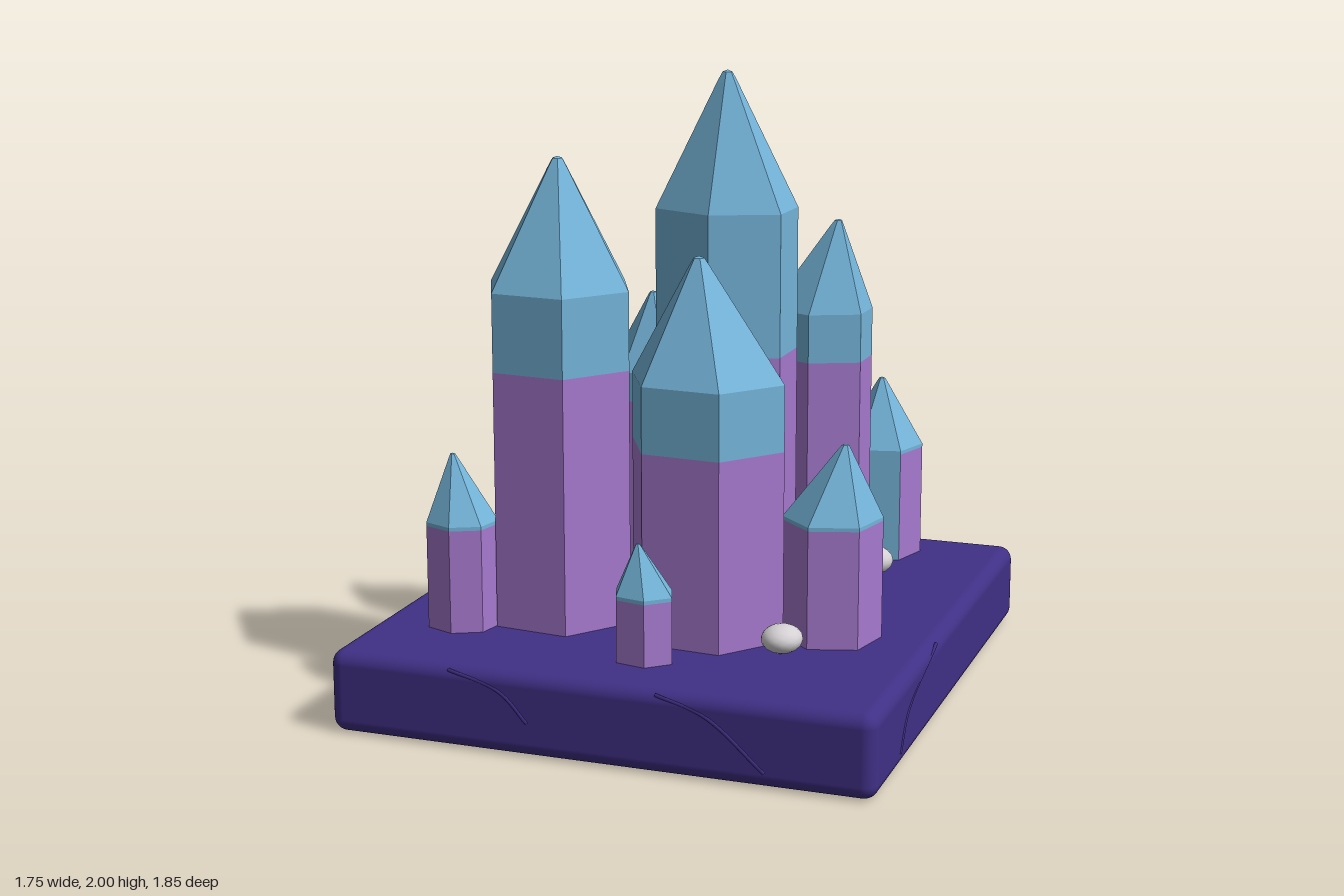
import * as THREE from 'three';
import { RoundedBoxGeometry } from 'three/addons/geometries/RoundedBoxGeometry.js';

const mat = (name, color) => {
  const m = new THREE.MeshStandardMaterial({ color });
  m.name = name;
  return m;
};
const slabMat = mat('deepIndigo', 0x403086);
const bodyMat = mat('amethyst', 0xa679ce);
const tipMat = mat('skyBlue', 0x74b4d9);
const pebbleMat = mat('paleGrey', 0xd5d1d4);

// Flat-faced mesh from quads given as bottom pair, then top pair
function quadMesh(name, quads, material) {
  const pos = [];
  for (const [a0, b0, b1, a1] of quads) pos.push(...a0, ...a1, ...b1, ...a0, ...b1, ...b0);
  const geometry = new THREE.BufferGeometry();
  geometry.setAttribute('position', new THREE.Float32BufferAttribute(pos, 3));
  geometry.computeVertexNormals();
  const mesh = new THREE.Mesh(geometry, material);
  mesh.name = name;
  return mesh;
}

// Polygon turned by some degrees, then fitted to the half widths rx and rz
function outline(sides, turn, rx, rz) {
  const points = [];
  for (let i = 0; i < sides; i++) {
    const a = Math.PI + THREE.MathUtils.degToRad(turn) + (i * 2 * Math.PI) / sides;
    points.push(new THREE.Vector2(Math.cos(a), Math.sin(a)));
  }
  const box = new THREE.Box2().setFromPoints(points);
  const centre = box.getCenter(new THREE.Vector2());
  const half = box.getSize(new THREE.Vector2()).multiplyScalar(0.5);
  const fit = new THREE.Vector2(rx, rz);
  return points.map(p => p.sub(centre).divide(half).multiply(fit));
}

// Prism with a pointed, slightly blunted tip. lean moves the apex along x;
// tipFaces are side faces that carry the tip colour down to the slab.
function crystal(name, x, z, rx, rz, sides, turn, height, shoulder, options = {}) {
  const { split = shoulder - 0.012, lean = 0, tipFaces = [] } = options;
  const corners = outline(sides, turn, rx, rz);
  const ring = (y, scale) => corners.map(c =>
    [x + c.x * scale + lean * (1 - scale), y, z + c.y * scale]);
  const rise = height - shoulder;
  const foot = ring(0.24, 1);
  const rings = [
    ring(split, 1), ring(shoulder, 1), ring(shoulder + rise * 0.91, 0.145),
    ring(shoulder + rise * 0.985, 0.07), ring(height, 0),
  ];
  const body = [], tip = [];
  for (let i = 0; i < sides; i++) {
    const j = (i + 1) % sides;
    (tipFaces.includes(i) ? tip : body).push([foot[i], foot[j], rings[0][j], rings[0][i]]);
    for (let k = 0; k < rings.length - 1; k++) {
      tip.push([rings[k][i], rings[k][j], rings[k + 1][j], rings[k + 1][i]]);
    }
  }
  const group = new THREE.Group();
  group.name = name;
  group.add(quadMesh('crystalBody', body, bodyMat), quadMesh('crystalTip', tip, tipMat));
  return group;
}

// Shallow ridge along a crack in the slab
function crack(...points) {
  const path = new THREE.CatmullRomCurve3(points.map(p => new THREE.Vector3(...p)));
  const mesh = new THREE.Mesh(new THREE.TubeGeometry(path, 16, 0.006, 5), slabMat);
  mesh.name = 'slabCrack';
  return mesh;
}

function pebble(x, z, sx, sy, sz) {
  const mesh = new THREE.Mesh(new THREE.IcosahedronGeometry(1, 2), pebbleMat);
  mesh.name = 'pebble';
  mesh.scale.set(sx, sy, sz);
  mesh.position.set(x, 0.31, z);
  return mesh;
}

export function createModel() {
  const model = new THREE.Group();
  model.name = 'crystalCluster';

  // Stone slab
  const slab = new THREE.Mesh(new RoundedBoxGeometry(1.75, 0.265, 1.85, 4, 0.045), slabMat);
  slab.name = 'slab';
  slab.position.y = 0.1325;
  model.add(slab);

  // Cracks on the front, left side and top
  model.add(
    crack([-0.47, 0.25, 0.918], [-0.3, 0.2, 0.923], [-0.21, 0.11, 0.923]),
    crack([0.2, 0.25, 0.918], [0.36, 0.2, 0.923], [0.54, 0.05, 0.923]),
    crack([0.873, 0.05, 0.64], [0.873, 0.15, 0.56], [0.868, 0.25, 0.19]),
    crack([-0.87, 0.264, -0.62], [-0.74, 0.264, -0.55], [-0.5, 0.264, -0.47]),
  );

  // Large crystals
  model.add(
    crystal('tallCentreCrystal', 0.1, -0.025, 0.21, 0.185, 6, 30, 2, 1.56, { split: 1.1 }),
    crystal('frontRightCrystal', -0.335, 0.335, 0.245, 0.22, 6, 6, 1.75, 1.34, { split: 1.09 }),
    crystal('frontMiddleCrystal', 0.167, 0.355, 0.257, 0.21, 6, 5, 1.465, 1.085,
      { split: 0.875, lean: -0.03, tipFaces: [0] }),
    crystal('backLeftCrystal', 0.337, -0.295, 0.157, 0.14, 6, 30, 1.5, 1.2,
      { split: 1.04, lean: 0.06, tipFaces: [5] }),
    crystal('backRightCrystal', -0.25, -0.36, 0.175, 0.155, 7, -8, 1.21, 0.95,
      { split: 0.85, lean: -0.03 }),
  );

  // Short crystals around the rim
  model.add(
    crystal('shortLeftCrystal', 0.55, 0.268, 0.15, 0.152, 6, -17, 0.89, 0.655,
      { lean: 0.04, tipFaces: [1] }),
    crystal('shortBackCrystal', 0.44, -0.707, 0.14, 0.137, 6, -13, 0.89, 0.655,
      { tipFaces: [4, 5] }),
    crystal('shortRightCrystal', -0.595, 0.54, 0.115, 0.105, 7, 10, 0.825, 0.61,
      { lean: -0.025, tipFaces: [2] }),
    crystal('tinyFrontCrystal', 0.073, 0.67, 0.097, 0.08, 6, 13, 0.63, 0.475, { lean: -0.02 }),
    crystal('tinyBackCrystal', -0.342, -0.725, 0.107, 0.115, 7, 3, 0.59, 0.45, { split: 0.42 }),
    crystal('tinySideCrystal', -0.575, -0.16, 0.085, 0.075, 6, 20, 0.57, 0.5, { split: 0.45 }),
  );

  // Pebbles
  model.add(
    pebble(0.45, 0.47, 0.065, 0.045, 0.07),
    pebble(0.32, -0.45, 0.085, 0.045, 0.06),
    pebble(0.485, -0.435, 0.075, 0.05, 0.07),
  );
  return model;
}
